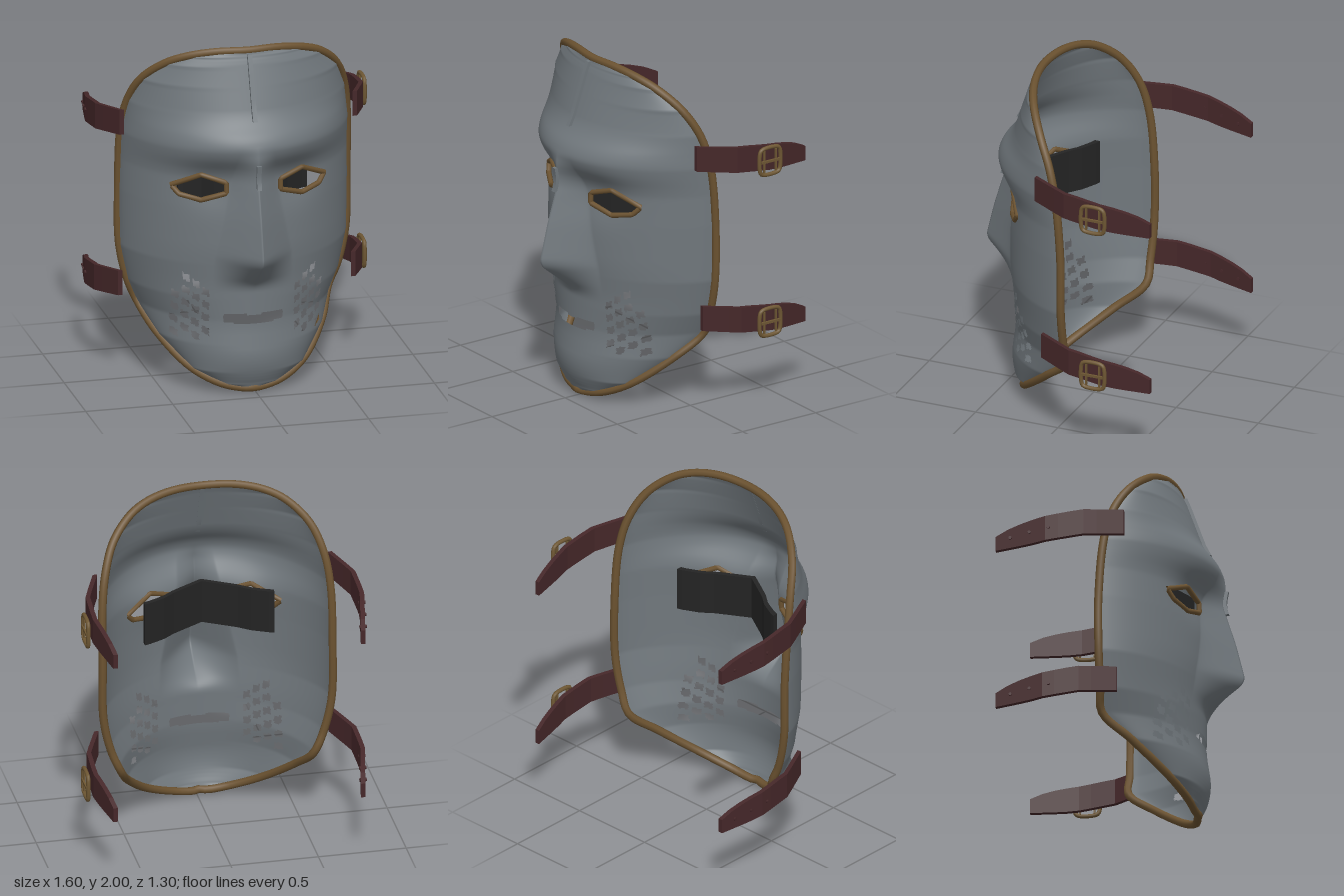
import * as THREE from 'three';

const CX = -0.018; // mask centre line
const mat = (name, color, side = THREE.FrontSide) => {
  const m = new THREE.MeshStandardMaterial({ color, side });
  m.name = name;
  return m;
};

// piecewise linear lookup in [key, value] pairs with rising keys
const look = (t, k) => {
  if (k <= t[0][0]) return t[0][1];
  for (let i = 1; i < t.length; i++) {
    if (k <= t[i][0]) {
      const [a, va] = t[i - 1], [b, vb] = t[i];
      return va + (vb - va) * (k - a) / (b - a);
    }
  }
  return t[t.length - 1][1];
};
const soft = (t, k, r = 0.04) =>
  [-1, -0.5, 0, 0.5, 1].reduce((s, o) => s + look(t, k + o * r), 0) / 5;

// profiles by height: half width, edge depth, face depth, nose height, nose half width
const WIDTH = [[0.022, 0.04], [0.05, 0.17], [0.13, 0.325], [0.29, 0.475], [0.43, 0.55], [0.56, 0.605],
  [0.77, 0.65], [1.1, 0.655], [1.45, 0.65], [1.64, 0.622], [1.79, 0.56], [1.9, 0.445], [1.95, 0.33], [1.976, 0.18]];
const EDGE = [[0.02, 0.39], [0.05, 0.36], [0.13, 0.27], [0.29, 0.085], [0.43, -0.07], [0.77, -0.075], [1.28, -0.075],
  [1.4, -0.055], [1.52, -0.03], [1.64, 0.005], [1.77, 0.07], [1.88, 0.155], [1.94, 0.215], [1.976, 0.275]];
const FACE = [[0.02, 0.4], [0.12, 0.45], [0.22, 0.467], [0.4, 0.44], [0.64, 0.44], [0.85, 0.46],
  [1.3, 0.46], [1.43, 0.54], [1.5, 0.54], [1.62, 0.44], [1.95, 0.325], [1.98, 0.305]];
const NOSE = [[0.64, 0], [0.82, 0.205], [1.05, 0.15], [1.24, 0.095], [1.36, 0.05], [1.46, 0]];
const NOSEW = [[0.64, 0.23], [0.82, 0.22], [1.3, 0.12], [1.46, 0.1]];

// depth of the face surface; dx is measured from the centre line
function depth(dx, y) {
  const u = Math.min(1, Math.abs(dx) / look(WIDTH, y)), e = look(EDGE, y);
  const base = e + (soft(FACE, y) - e) * Math.pow(1 - u * u, 0.67);
  const n = Math.max(0, 1 - Math.abs(dx) / look(NOSEW, y));
  const socket = 0.032 * Math.exp(-(((Math.abs(dx) - 0.24) / 0.15) ** 2) - (((y - 1.24) / 0.13) ** 2));
  return base + soft(NOSE, y, 0.03) * Math.pow(n, 1.2) - socket;
}

// eye outline, for the +x side, counter-clockwise
const EYE = [[0.44, 1.218], [0.288, 1.294], [0.155, 1.25], [0.155, 1.19], [0.29, 1.145], [0.4, 1.17]];
const inEye = (x, y) => EYE.every(([ax, ay], i) => {
  const [bx, by] = EYE[(i + 1) % EYE.length];
  return (bx - ax) * (y - ay) - (by - ay) * (x - ax) > 0;
});

// staggered breathing holes in each cheek
const VENTS = [];
for (let c = 0; c < 4; c++) {
  for (let r = 0; r < 5; r++) {
    if ((c === 0 || c === 3) && r === 4) continue;
    VENTS.push([0.262 + c * 0.05, 0.335 + r * 0.077 + (c % 2 ? 0 : 0.035)]);
  }
}

function isHole(dx, y) {
  const x = Math.abs(dx);
  if (inEye(x, y)) return true;
  const sag = 0.4 * x * x;
  if (x < 0.17 && y > 0.415 + sag && y < 0.47 + sag) return true;
  return VENTS.some(([vx, vy]) => Math.abs(x - vx) < 0.018 && Math.abs(y - vy - (x - vx) * 0.4) < 0.02);
}

function faceGeometry() {
  const NU = 190, NV = 250, pos = [], idx = [];
  const rowY = j => 1 - 0.978 * Math.cos(Math.PI * j / NV);
  const at = (i, j) => {
    const y = rowY(j);
    return [(2 * i / NU - 1) * look(WIDTH, y), y];
  };
  for (let j = 0; j <= NV; j++) {
    for (let i = 0; i <= NU; i++) {
      const [dx, y] = at(i, j);
      pos.push(CX + dx, y, depth(dx, y));
      if (i === NU || j === NV || isHole(...at(i + 0.5, j + 0.5))) continue;
      const a = j * (NU + 1) + i, b = a + NU + 1;
      idx.push(a, a + 1, b + 1, a, b + 1, b);
    }
  }
  const g = new THREE.BufferGeometry();
  g.setAttribute('position', new THREE.Float32BufferAttribute(pos, 3));
  g.setIndex(idx);
  g.computeVertexNormals();
  return g;
}

// move every vertex of a geometry by a rule
function bend(geo, rule) {
  const p = geo.attributes.position, v = new THREE.Vector3();
  for (let i = 0; i < p.count; i++) {
    rule(v.fromBufferAttribute(p, i));
    p.setXYZ(i, v.x, v.y, v.z);
  }
  geo.computeVertexNormals();
  return geo;
}

// closed tube; tension 0 keeps straight runs between the points
const ringTube = (pts, r, seg, type = 'centripetal', tension = 0.5) => new THREE.TubeGeometry(
  new THREE.CatmullRomCurve3(pts.map(p => new THREE.Vector3(...p)), true, type, tension), seg, r, 8, true);

export function createModel() {
  const steel = mat('steel', 0x70777c, THREE.DoubleSide);
  const trim = mat('brown trim', 0x6b5230);
  const leather = mat('dark red leather', 0x452729);
  const lining = mat('black lining', 0x242424);
  const brass = mat('old brass', 0x6e5733);

  const root = new THREE.Group();
  root.name = 'mask';
  const add = (name, geo, m, parent = root) => {
    const mesh = new THREE.Mesh(geo, m);
    mesh.name = name;
    parent.add(mesh);
    return mesh;
  };

  add('facePlate', faceGeometry(), steel);

  // rolled trim round the outer edge
  const side = s => WIDTH.map(([y, w]) => [CX + s * w, y, look(EDGE, y)]);
  const outline = [...side(1), [CX, 1.978, 0.298], ...side(-1).reverse(), [CX, 0.024, 0.4]];
  add('edgeTrim', ringTube(outline, 0.023, 160), trim);

  // raised seam strips on forehead and nose bridge
  for (const [y0, y1] of [[1.61, 1.965], [1.24, 1.38]]) {
    const g = bend(new THREE.BoxGeometry(0.026, 1, 0.02, 1, 6, 1), v => {
      v.x += CX;
      v.y = y0 + (v.y + 0.5) * (y1 - y0);
      v.z += depth(0, v.y) + 0.009;
    });
    add('seamStrip', g, steel);
  }

  // dark band behind the eyes, folded over the nose bridge
  const FOLD = [[0, 0.36], [0.18, 0.255], [0.25, 0.2], [0.36, 0.147]];
  add('eyeBand', bend(new THREE.BoxGeometry(0.74, 0.255, 0.03, 24, 1, 1).toNonIndexed(), v => {
    v.z += look(FOLD, Math.abs(v.x));
    v.x += CX;
    v.y += 1.225;
  }), lining);

  // strap centre line x and top and bottom edges, by depth
  const SX = [[-0.645, 0.705], [-0.35, 0.762], [-0.14, 0.755], [0.07, 0.668]];
  const TOP = [[-0.645, 1.465], [-0.55, 1.51], [-0.4, 1.545], [-0.2, 1.575], [0.075, 1.605]];
  const LOW = [[-0.645, 1.38], [-0.45, 1.392], [-0.2, 1.425], [0.075, 1.46]];

  for (const s of [1, -1]) {
    // eye trim
    const ring = EYE.map(([x, y]) => [CX + s * x, y, depth(x, y) + 0.004]);
    add('eyeTrim', ringTube(ring, 0.015, 72, 'catmullrom', 0), trim);

    for (const [dy, dz, label] of [[0, 0, 'upper'], [-0.96, -0.04, 'lower']]) {
      const strap = new THREE.Group();
      strap.name = label + 'Strap';
      root.add(strap);
      add('strapBand', bend(new THREE.BoxGeometry(0.026, 1, 1, 1, 1, 10).toNonIndexed(), v => {
        const z = -0.645 + (v.z + 0.5) * 0.715;
        v.x += CX + s * look(SX, z);
        v.y = look(v.y > 0 ? TOP : LOW, z) + dy;
        v.z = z + dz * (z + 0.645) / 0.715;
      }), leather, strap);

      if (s > 0) {
        // buckle: rounded frame, two bars and a prong
        const buckle = new THREE.Group();
        buckle.name = 'buckle';
        buckle.position.set(0.79, 1.475 + dy, -0.338);
        strap.add(buckle);
        const frame = [[0.05, 0.075], [-0.05, 0.075], [-0.066, 0.06], [-0.066, -0.06],
          [-0.05, -0.075], [0.05, -0.075], [0.066, -0.06], [0.066, 0.06]].map(([z, y]) => [0, y, z]);
        add('buckleFrame', ringTube(frame, 0.012, 48), brass, buckle);
        for (const z of [-0.04, 0.04]) {
          add('buckleBar', new THREE.BoxGeometry(0.012, 0.13, 0.01), brass, buckle).position.z = z;
        }
        add('buckleProng', new THREE.BoxGeometry(0.012, 0.014, 0.13), brass, buckle).position.x = 0.006;
      } else {
        // small leather studs along the free strap
        for (const z of [-0.34, -0.45, -0.56]) {
          const stud = add('strapStud', new THREE.CylinderGeometry(0.01, 0.01, 0.04, 6), leather, strap);
          stud.rotation.z = Math.PI / 2;
          stud.position.set(CX - look(SX, z) - 0.002, (look(TOP, z) + look(LOW, z)) / 2 + dy, z);
        }
      }
    }
  }
  return root;
}
